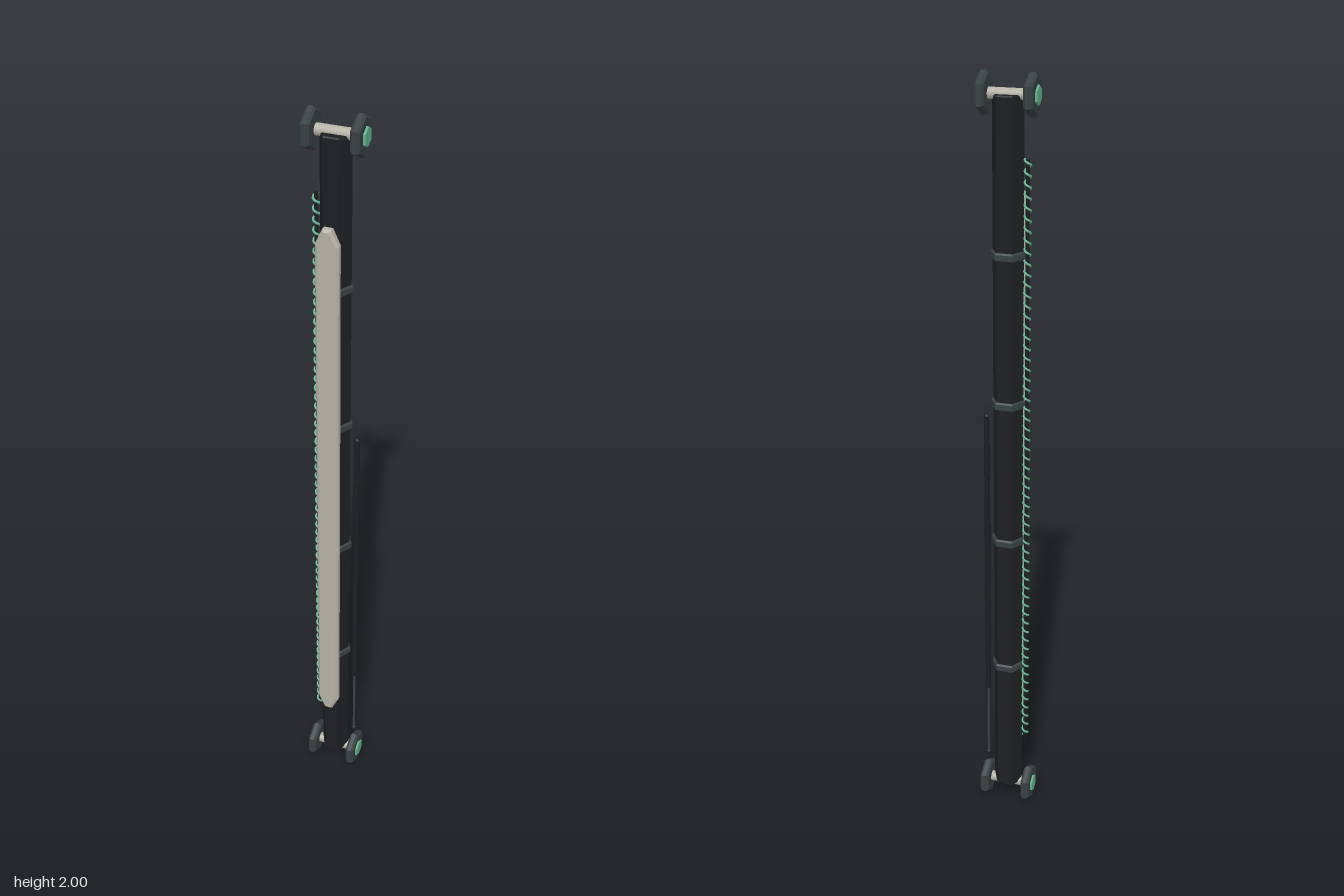
import * as THREE from 'three';

const mat = (name, color) => {
  const m = new THREE.MeshStandardMaterial({ color });
  m.name = name;
  return m;
};

export function createModel() {
  const black = mat('black shell', 0x1d1f22);
  const slate = mat('dark slate', 0x394143);
  const ivory = mat('warm grey', 0xb4b1a6);
  const green = mat('soft green', 0x62b48f);

  const root = new THREE.Group();
  root.name = 'strut';
  const ZC = -0.0095; // depth of the beam axis
  const Y0 = 0.051, Y1 = 1.949; // axle heights
  const HEX = Math.PI / 6;

  const add = (name, geo, material, x = 0, y = 0, z = ZC) => {
    const m = new THREE.Mesh(geo, material);
    m.name = name;
    m.position.set(x, y, z);
    root.add(m);
    return m;
  };
  const faceted = (geo) => {
    const g = geo.toNonIndexed();
    g.computeVertexNormals();
    return g;
  };
  // six-sided chamfered block turned around y
  const hexBlock = (r, h, c, start = HEX) => faceted(new THREE.LatheGeometry(
    [[0, -h], [r - c, -h], [r, -h + c], [r, h - c], [r - c, h], [0, h]]
      .map(([a, b]) => new THREE.Vector2(a, b)), 6, start));

  // main hexagonal beam and its clamp bands
  add('beam', hexBlock(0.039, (Y1 - Y0) / 2, 0.003), black, 0, 1);
  for (const y of [0.435, 0.812, 1.193, 1.573]) {
    add('clampBand', hexBlock(0.0445, 0.011, 0.004), slate, 0, y);
  }

  // end joints: axle, two hexagonal collars, two caps
  const collar = hexBlock(0.051, 0.0115, 0.006).rotateZ(-Math.PI / 2);
  const cap = hexBlock(0.024, 0.004, 0.002).rotateZ(-Math.PI / 2);
  const axle = new THREE.CylinderGeometry(0.014, 0.014, 0.1, 16).rotateZ(Math.PI / 2);
  for (const y of [Y0, Y1]) {
    add('axle', axle, ivory, 0, y);
    for (const s of [-1, 1]) {
      add('collar', collar, slate, s * 0.0585, y);
      add('hubCap', cap, green, s * 0.071, y);
    }
  }

  // front armour plate with pointed ends and chamfered rim
  const w = 0.023, l = 0.742, t = 0.035, e = 0.007;
  const outline = new THREE.Shape([
    [-w, -l + t], [-e, -l], [e, -l], [w, -l + t],
    [w, l - t], [e, l], [-e, l], [-w, l - t],
  ].map(([a, b]) => new THREE.Vector2(a, b)));
  const plate = new THREE.ExtrudeGeometry(outline, {
    depth: 0.012, bevelEnabled: true, bevelThickness: 0.006, bevelSize: 0.006, bevelSegments: 1,
  });
  add('frontPlate', plate, ivory, 0, 0.995, 0.035);

  // coil spring around a dark rod on the right side
  const turns = 60, low = 0.205, high = 1.803;
  class Helix extends THREE.Curve {
    getPoint(u, target = new THREE.Vector3()) {
      const a = u * turns * Math.PI * 2;
      return target.set(Math.cos(a) * 0.0075, low + u * (high - low), Math.sin(a) * 0.0075);
    }
  }
  add('coil', new THREE.TubeGeometry(new Helix(), turns * 12, 0.003, 6), green, -0.048);
  add('coilRod', new THREE.CylinderGeometry(0.005, 0.005, high - low, 8), black, -0.048, (low + high) / 2);

  // piston on the left side
  const px = 0.057;
  add('pistonBody', new THREE.CylinderGeometry(0.0075, 0.0075, 0.8, 12), black, px, 0.745);
  add('pistonRod', new THREE.CylinderGeometry(0.0035, 0.0035, 0.24, 10), slate, px, 0.25);
  for (const y of [0.132, 1.15]) {
    add('pistonEnd', new THREE.SphereGeometry(0.008, 12, 8), black, px, y);
  }
  return root;
}
